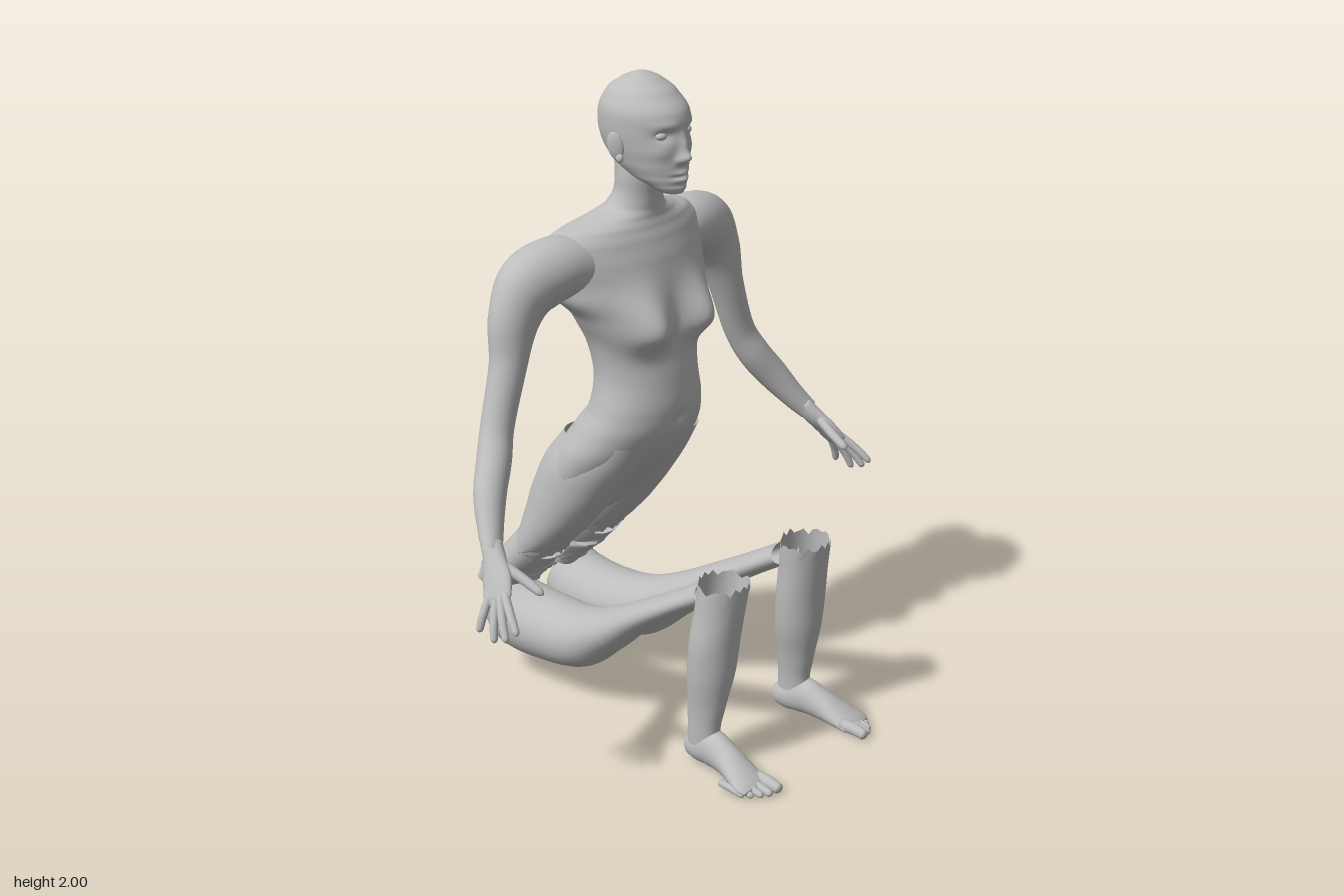
import * as THREE from 'three';

const V = (x, y, z) => new THREE.Vector3(x, y, z);
const X = V(1, 0, 0), Y = V(0, 1, 0), Z = V(0, 0, 1);
const skinMat = new THREE.MeshStandardMaterial({ color: 0xbdbdbd, side: THREE.DoubleSide });
skinMat.name = 'plain grey';

// Horizontal cross-section given by height, centre x, front z, back z and half width
const slice = (y, x, zf, zb, w) => [x, y, (zf + zb) / 2, w, (zf - zb) / 2];
const gauss = (d, r) => Math.exp(-(d * d) / (r * r));

// Skins a smooth surface over elliptical sections [x, y, z, halfU, halfV].
// 'up' fixes the section plane; otherwise sections follow the path.
function skin(name, secs, { ref = X, up = null, seg = 32, steps = 40, rule = null, capA = false, capB = false } = {}) {
  const path = new THREE.CatmullRomCurve3(secs.map(s => V(s[0], s[1], s[2])));
  const size = new THREE.CatmullRomCurve3(secs.map(s => V(s[3], s[4], 0)), false, 'catmullrom', 0.4);
  const pos = [], idx = [];
  const put = p => { if (rule) rule(p); pos.push(p.x, p.y, p.z); };
  for (let i = 0; i <= steps; i++) {
    const k = i / steps, c = path.getPoint(k), r = size.getPoint(k);
    const t = up || path.getTangent(k);
    const u = ref.clone().addScaledVector(t, -ref.dot(t)).normalize();
    const v = t.clone().cross(u);
    for (let j = 0; j < seg; j++) {
      const a = j / seg * Math.PI * 2;
      put(c.clone().addScaledVector(u, r.x * Math.cos(a)).addScaledVector(v, r.y * Math.sin(a)));
    }
  }
  for (let i = 0; i < steps; i++) for (let j = 0; j < seg; j++) {
    const n = (j + 1) % seg, a = i * seg + j, b = i * seg + n;
    idx.push(a, b, b + seg, a, b + seg, a + seg);
  }
  const cap = (k, row, flip) => {
    put(path.getPoint(k));
    const m = pos.length / 3 - 1;
    for (let j = 0; j < seg; j++) {
      const a = row * seg + j, b = row * seg + (j + 1) % seg;
      idx.push(m, flip ? b : a, flip ? a : b);
    }
  };
  if (capA) cap(0, 0, true);
  if (capB) cap(1, steps, false);
  const g = new THREE.BufferGeometry();
  g.setAttribute('position', new THREE.Float32BufferAttribute(pos, 3));
  g.setIndex(idx);
  g.computeVertexNormals();
  const m = new THREE.Mesh(g, skinMat);
  m.name = name;
  return m;
}

// Rounded digit tapering along a few points
function digit(name, pts, r, ref) {
  const n = pts.length - 1, a = pts[n - 1], b = pts[n];
  const mix = k => a.map((q, i) => q + (b[i] - q) * k);
  const secs = pts.slice(0, n).map(p => [...p, r, r]);
  secs.push([...mix(0.8), r * 0.85, r * 0.85], [...mix(0.95), r * 0.5, r * 0.5], [...b, r * 0.05, r * 0.05]);
  return skin(name, secs, { ref, seg: 12, steps: 18, capA: true, capB: true });
}

function ball(name, x, y, z, sx, sy, sz) {
  const m = new THREE.Mesh(new THREE.SphereGeometry(1, 24, 16), skinMat);
  m.name = name;
  m.position.set(x, y, z);
  m.scale.set(sx, sy, sz);
  return m;
}

// Torso modelling: bust, swept-back shoulders, spine, shoulder blades, navel
function torsoRule(p) {
  const ax = Math.abs(p.x), front = p.z > -0.1;
  if (front) {
    const dy = p.y - 1.265;
    p.z += 0.072 * gauss(ax - 0.115, 0.075) * gauss(dy, dy < 0 ? 0.06 : 0.1);
    p.z -= 0.012 * gauss(p.x, 0.02) * gauss(p.y - 0.975, 0.02);
  } else {
    p.z += 0.02 * gauss(p.x, 0.03) * gauss(p.y - 1.22, 0.28);
    p.z -= 0.012 * gauss(ax - 0.14, 0.06) * gauss(p.y - 1.4, 0.1);
  }
  p.z -= 0.5 * ax * ax * THREE.MathUtils.smoothstep(p.y, 1.3, 1.42);
}

// Face modelling: [x, y, radiusX, radiusY, depth]
const features = [
  [0, 1.773, 0.017, 0.016, 0.026], [0, 1.805, 0.014, 0.03, 0.016], [0.018, 1.766, 0.011, 0.01, 0.01],
  [0.053, 1.838, 0.026, 0.016, -0.014], [0.05, 1.868, 0.035, 0.012, 0.005],
  [0, 1.727, 0.03, 0.008, 0.01], [0, 1.707, 0.027, 0.009, 0.01], [0, 1.717, 0.032, 0.004, -0.006],
  [0, 1.675, 0.026, 0.018, 0.006], [0.068, 1.79, 0.025, 0.025, 0.006],
];
function faceRule(p) {
  if (p.z < -0.06) return;
  const { x, y } = p;
  for (const [fx, fy, rx, ry, d] of features) p.z += d * gauss(Math.abs(x) - fx, rx) * gauss(y - fy, ry);
}

function makeHead() {
  const head = new THREE.Group();
  head.name = 'head';
  head.add(skin('skull and face', [
    slice(1.66, 0, 0.03, 0.015, 0.008), slice(1.665, 0, 0.042, -0.02, 0.033), slice(1.685, 0, 0.05, -0.075, 0.055),
    slice(1.71, 0, 0.052, -0.14, 0.075), slice(1.75, 0, 0.053, -0.195, 0.094), slice(1.8, 0, 0.053, -0.23, 0.108),
    slice(1.85, 0, 0.053, -0.242, 0.115), slice(1.9, 0, 0.045, -0.236, 0.115), slice(1.95, 0, 0, -0.207, 0.092),
    slice(1.98, 0, -0.045, -0.165, 0.058), slice(1.995, 0, -0.08, -0.13, 0.026), slice(2, 0, -0.104, -0.106, 0.001),
  ], { up: Y, seg: 96, steps: 88, rule: faceRule, capA: true, capB: true }));
  for (const s of [1, -1]) {
    head.add(ball('eye', s * 0.053, 1.838, 0.013, 0.02, 0.014, 0.02));
    const ear = ball('ear', s * 0.117, 1.802, -0.1, 0.01, 0.042, 0.025);
    ear.rotation.set(-0.15, s * -0.35, s * -0.15);
    head.add(ear, ball('earlobe', s * 0.113, 1.768, -0.088, 0.009, 0.014, 0.013));
  }
  return head;
}

function makeArm(s) {
  const arm = new THREE.Group();
  arm.name = s > 0 ? 'left arm' : 'right arm';
  const M = a => a.map(p => [s * p[0], ...p.slice(1)]);
  arm.add(skin('arm', M([
    [0.2, 1.46, -0.165, 0.09, 0.085], [0.3, 1.462, -0.18, 0.095, 0.095], [0.385, 1.43, -0.195, 0.088, 0.1],
    [0.445, 1.35, -0.195, 0.068, 0.083], [0.485, 1.22, -0.185, 0.054, 0.056], [0.545, 1.05, -0.175, 0.048, 0.05],
    [0.585, 0.97, -0.15, 0.05, 0.052], [0.64, 0.89, -0.115, 0.046, 0.05], [0.69, 0.81, -0.065, 0.035, 0.04],
    [0.72, 0.765, -0.03, 0.027, 0.034],
  ]), { ref: Z, steps: 54, capA: true }));
  arm.add(skin('palm', M([
    [0.708, 0.782, -0.044, 0.032, 0.028], [0.728, 0.745, -0.012, 0.037, 0.026], [0.753, 0.705, 0.02, 0.048, 0.02],
    [0.775, 0.668, 0.042, 0.047, 0.015], [0.785, 0.652, 0.051, 0.036, 0.006],
  ]), { ref: Z, seg: 24, steps: 20, capA: true, capB: true }));
  const fingers = [
    ['index finger', [[0.77, 0.685, 0.065], [0.797, 0.64, 0.115], [0.815, 0.6, 0.155]]],
    ['middle finger', [[0.775, 0.675, 0.052], [0.808, 0.615, 0.093], [0.825, 0.572, 0.122]]],
    ['ring finger', [[0.775, 0.67, 0.035], [0.81, 0.605, 0.06], [0.826, 0.556, 0.075]]],
    ['little finger', [[0.775, 0.675, 0.015], [0.808, 0.615, 0.015], [0.822, 0.568, 0.012]]],
    ['thumb', [[0.728, 0.75, 0.0], [0.71, 0.715, 0.07], [0.697, 0.68, 0.145]]],
  ];
  for (const [n, pts] of fingers) arm.add(digit(n, M(pts), n === 'thumb' ? 0.015 : 0.0125, Z));
  return arm;
}

function makeLeg(s) {
  const leg = new THREE.Group();
  leg.name = s > 0 ? 'left leg' : 'right leg';
  const M = a => a.map(p => [s * p[0], ...p.slice(1)]);
  const rag = p => 0.008 * Math.sin(p.x * 190) + 0.006 * Math.sin(p.z * 310 + 1);
  // Upper thigh slanting back from the hip, with a torn hem
  leg.add(skin('upper thigh', M([
    slice(0.45, 0.128, -0.36, -0.5, 0.1), slice(0.52, 0.128, -0.285, -0.476, 0.107), slice(0.6, 0.125, -0.21, -0.45, 0.111),
    slice(0.7, 0.12, -0.13, -0.42, 0.115), slice(0.8, 0.115, -0.06, -0.375, 0.116), slice(0.9, 0.11, 0.0, -0.3, 0.1),
  ]), { up: Y, rule: p => { if (p.y < 0.48) p.y += rag(p); } }));
  leg.add(skin('knee flap', M([
    [0.128, 0.49, -0.41, 0.1, 0.075], [0.132, 0.43, -0.465, 0.105, 0.07],
    [0.14, 0.38, -0.515, 0.112, 0.065], [0.147, 0.33, -0.545, 0.11, 0.06],
  ]), { rule: p => { if (p.y < 0.4) p.z -= 0.25 * (Math.abs(p.x) - 0.15) + rag(p) * 0.6; } }));
  // Folded thigh on the ground, thinning to a strip that meets the shin
  leg.add(skin('folded thigh', M([
    [0.178, 0.552, 0.31, 0.065, 0.035], [0.176, 0.485, 0.2, 0.068, 0.036], [0.172, 0.39, 0.05, 0.075, 0.045],
    [0.16, 0.285, -0.1, 0.09, 0.07], [0.145, 0.215, -0.23, 0.105, 0.098], [0.136, 0.197, -0.36, 0.112, 0.107],
    [0.138, 0.202, -0.48, 0.112, 0.113], [0.142, 0.225, -0.54, 0.102, 0.107], [0.144, 0.235, -0.565, 0.09, 0.095],
  ]), { steps: 48, capB: true }));
  leg.add(skin('shin', M([
    slice(0.05, 0.215, 0.38, 0.268, 0.038), slice(0.13, 0.215, 0.378, 0.272, 0.042), slice(0.2, 0.212, 0.392, 0.27, 0.05),
    slice(0.32, 0.206, 0.415, 0.272, 0.072), slice(0.42, 0.203, 0.425, 0.28, 0.08),
    slice(0.52, 0.196, 0.438, 0.293, 0.078), slice(0.605, 0.191, 0.45, 0.303, 0.08),
  ]), { up: Y, rule: p => { if (p.y > 0.59) p.y += rag(p); } }));
  leg.add(skin('foot', M([
    [0.208, 0.045, 0.258, 0.008, 0.01], [0.209, 0.048, 0.27, 0.03, 0.034], [0.212, 0.058, 0.31, 0.042, 0.05],
    [0.217, 0.07, 0.36, 0.043, 0.06], [0.226, 0.055, 0.43, 0.045, 0.046], [0.238, 0.036, 0.49, 0.055, 0.031],
    [0.246, 0.022, 0.535, 0.06, 0.019], [0.248, 0.017, 0.555, 0.05, 0.01],
  ]), { capA: true, capB: true }));
  const toes = [[0.208, 0.612, 0.019], [0.238, 0.603, 0.013], [0.261, 0.588, 0.012], [0.281, 0.567, 0.011], [0.297, 0.545, 0.011]];
  toes.forEach(([x, z, r], i) => leg.add(digit('toe ' + (i + 1),
    M([[x - 0.004, r + 0.01, z - 0.09], [x - 0.001, r + 0.008, z - 0.045], [x, r, z]]), r, X)));
  return leg;
}

export function createModel() {
  const model = new THREE.Group();
  model.name = 'kneeling figure';
  model.add(skin('torso and neck', [
    slice(0.6, 0, -0.25, -0.42, 0.14), slice(0.66, 0, -0.18, -0.415, 0.205), slice(0.75, 0, -0.1, -0.385, 0.23),
    slice(0.85, 0, -0.012, -0.345, 0.235), slice(0.93, 0, 0.035, -0.29, 0.217), slice(1.0, 0, 0.05, -0.24, 0.195),
    slice(1.1, 0, 0.045, -0.228, 0.176), slice(1.2, 0, 0.03, -0.245, 0.188), slice(1.3, 0, 0.022, -0.272, 0.235),
    slice(1.38, 0, 0.01, -0.288, 0.3), slice(1.46, 0, -0.008, -0.288, 0.325), slice(1.52, 0, -0.028, -0.275, 0.315),
    slice(1.555, 0, -0.042, -0.255, 0.26), slice(1.58, 0, -0.05, -0.235, 0.17), slice(1.605, 0, -0.052, -0.212, 0.1),
    slice(1.65, 0, -0.048, -0.187, 0.077), slice(1.7, 0, -0.04, -0.182, 0.075), slice(1.76, 0, -0.04, -0.19, 0.07),
  ], { up: Y, seg: 80, steps: 110, rule: torsoRule, capA: true, capB: true }));
  model.add(makeHead());
  for (const s of [1, -1]) model.add(makeArm(s), makeLeg(s));
  return model;
}
